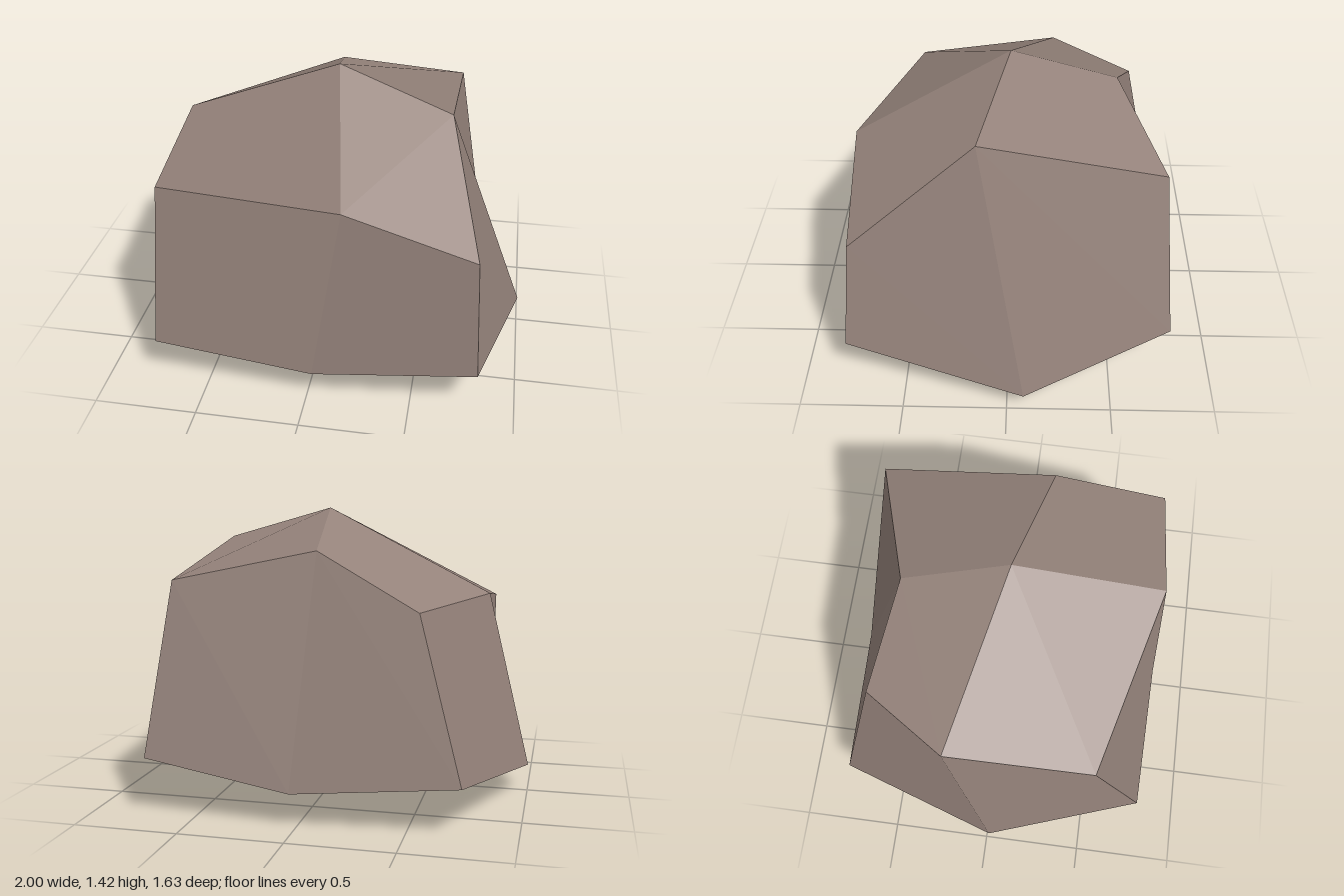
import * as THREE from 'three';

// Flat-shaded geometry from quads, each split from its first to its third corner
function facetedQuads(quads) {
  const positions = [];
  const normals = [];
  for (const quad of quads) {
    const [a, b, c, d] = quad.map((p) => new THREE.Vector3(...p));
    const normal = c.clone().sub(a).cross(d.clone().sub(b)).normalize();
    for (const p of [a, b, c, a, c, d]) {
      positions.push(p.x, p.y, p.z);
      normals.push(normal.x, normal.y, normal.z);
    }
  }
  const geometry = new THREE.BufferGeometry();
  geometry.setAttribute('position', new THREE.Float32BufferAttribute(positions, 3));
  geometry.setAttribute('normal', new THREE.Float32BufferAttribute(normals, 3));
  return geometry;
}

export function createModel() {
  const model = new THREE.Group();
  model.name = 'rock';

  const stone = new THREE.MeshStandardMaterial({ color: 0x94827a });
  stone.name = 'warm grey stone';

  // Corners of the boulder: each ring starts at the front, -x corner and runs towards +x
  const lower = [
    [-0.75, 0.23, 0.785], [0.03, 0.16, 0.815], [0.815, 0.23, 0.785], [1, 0.085, -0.08],
    [0.74, 0.275, -0.79], [0.03, 0.16, -0.815], [-0.75, 0.23, -0.785], [-1, 0.13, 0.015],
  ];
  const upper = [
    [-0.78, 0.94, 0.51], [0.16, 1.03, 0.755], [0.78, 0.82, 0.73], [0.6, 1.26, 0.145],
    [0.605, 1.11, -0.72], [-0.03, 1.24, -0.52], [-0.53, 0.98, -0.63], [-0.805, 1.03, -0.22],
  ];
  const base = [0.03, 0, 0];
  const peak = [0.03, 1.42, 0];

  // Eight side facets
  const quads = lower.map((p, i) => {
    const j = (i + 1) % 8;
    return [upper[i], p, lower[j], upper[j]];
  });

  // Four crown and four underside facets, one at each corner, with parallel splits
  for (let i = 0; i < 8; i += 2) {
    const before = (i + 7) % 8;
    const after = i + 1;
    const crown = [peak, upper[before], upper[i], upper[after]];
    const underside = [base, lower[after], lower[i], lower[before]];
    const turned = i % 4 === 0 ? underside : crown;
    turned.push(turned.shift());
    quads.push(crown, underside);
  }

  const boulder = new THREE.Mesh(facetedQuads(quads), stone);
  boulder.name = 'boulder';
  model.add(boulder);

  return model;
}
